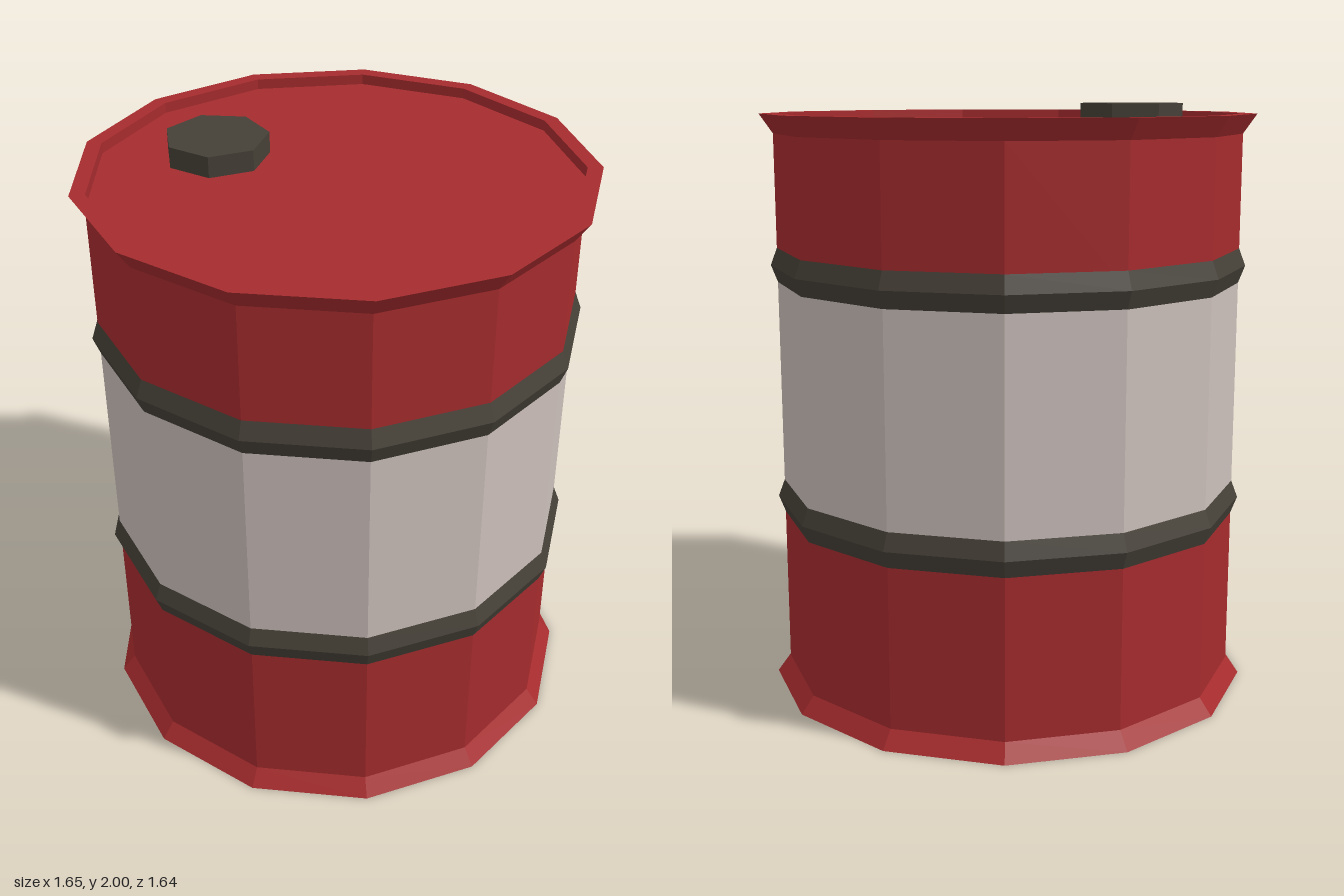
import * as THREE from 'three';

const SIDES = 13;

function paint(color) {
  return new THREE.MeshStandardMaterial({ color, flatShading: true });
}

export function createModel() {
  const model = new THREE.Group();
  model.name = 'oilDrum';

  const red = paint(0xa52b2d);
  const pale = paint(0xcbbfba);
  const dark = paint(0x454037);

  // Faceted shell turned from [radius, height] pairs, one corner at the back
  function turn(name, profile, material) {
    const points = profile.map(([r, y]) => new THREE.Vector2(r, y));
    const mesh = new THREE.Mesh(new THREE.LatheGeometry(points, SIDES, Math.PI), material);
    mesh.name = name;
    mesh.position.z = 0.012;
    model.add(mesh);
  }

  const R = 0.785, RIM = 0.83, INNER = 0.78, BEAD = 0.807;

  // Recessed base, flared foot rim and lower wall
  turn('lowerShell', [[0, 0.03], [INNER, 0.03], [INNER, 0], [RIM, 0], [R, 0.057], [R, 0.65]], red);

  // Pale middle band
  turn('middleBand', [[R, 0.65], [R, 1.46]], pale);

  // Upper wall, flared top rim and recessed lid
  turn('upperShell', [[R, 1.46], [R, 1.9], [RIM, 1.965], [INNER, 1.965], [INNER, 1.93], [0, 1.93]], red);

  // Raised reinforcing hoops
  [['lowerHoop', 0.652], ['upperHoop', 1.462]].forEach(([name, y]) => {
    turn(name, [[R, y - 0.058], [BEAD, y], [R, y + 0.058]], dark);
  });

  // Seven-sided filler cap on the lid
  const cap = new THREE.Mesh(
    new THREE.CylinderGeometry(0.171, 0.171, 0.07, 7, 1, false, Math.PI), dark);
  cap.name = 'fillerCap';
  cap.position.set(-0.3, 1.965, -0.284);
  model.add(cap);

  return model;
}
